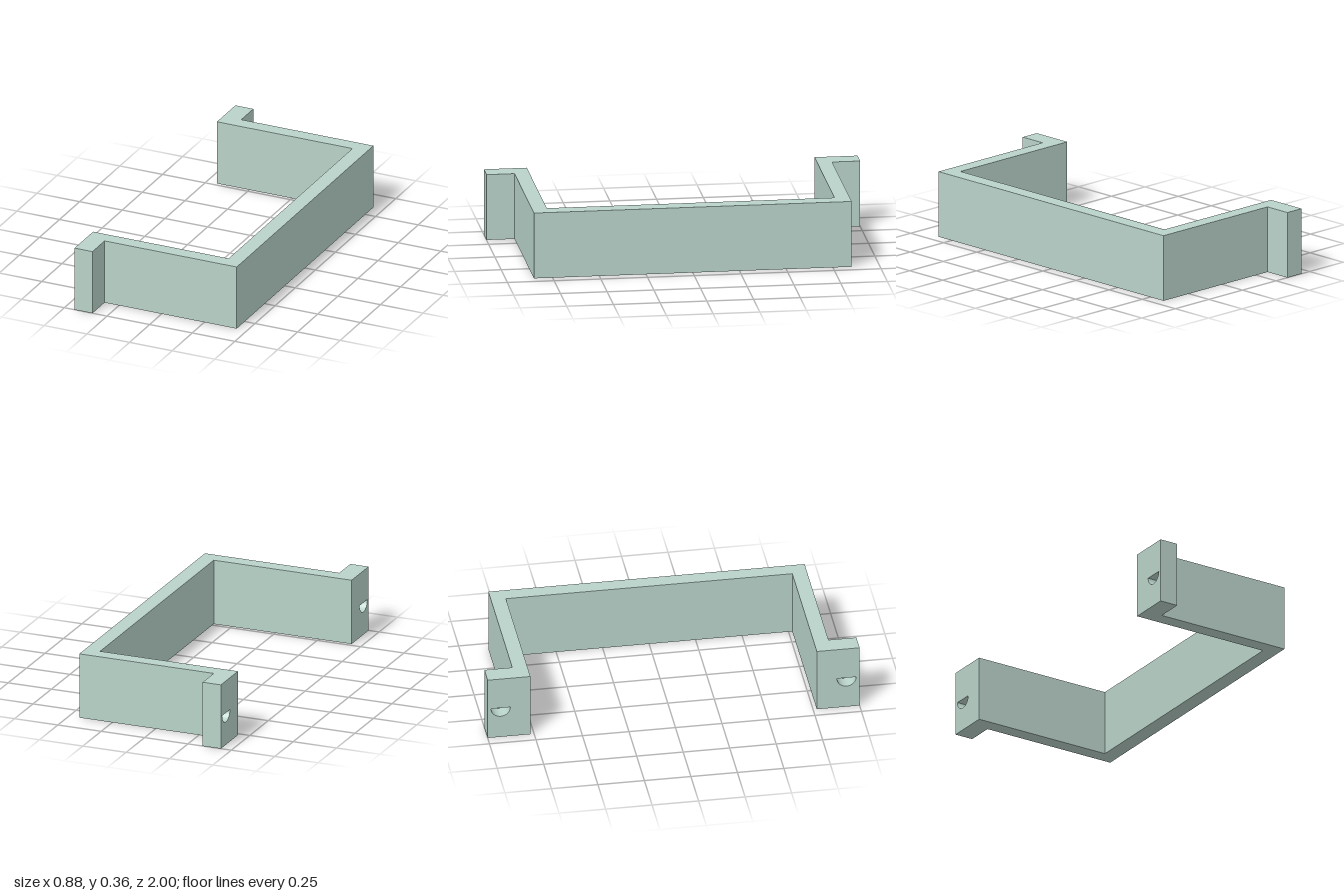
import * as THREE from 'three';

const HEIGHT = 0.36;
const BACK = -0.44;      // mounting face
const SEAT = -0.36;      // floor of the blind holes
const FLANGE = -0.335;   // outer side of the feet
const HOLE_R = 0.052;

export function createModel() {
  const group = new THREE.Group();
  const material = new THREE.MeshStandardMaterial({ color: 0xb9d3c9, flatShading: true });

  function add(geometry, name) {
    const mesh = new THREE.Mesh(geometry, material);
    mesh.name = name;
    group.add(mesh);
  }

  // U-shaped strap with outward feet: half outline in (x, z), mirrored in z
  const half = [
    [0.44, 0.85], [FLANGE, 0.85], [FLANGE, 1], [SEAT, 1], [SEAT, 0.77], [0.355, 0.77],
  ];
  const outline = [...half, ...half.map(([x, z]) => [x, -z]).reverse()];
  const strap = new THREE.ExtrudeGeometry(
    new THREE.Shape(outline.map(([x, z]) => new THREE.Vector2(x, z))),
    { depth: HEIGHT, bevelEnabled: false });
  strap.rotateX(Math.PI / 2).translate(0, HEIGHT, 0);
  add(strap, 'strap');

  // Mounting pads with a blind half-round hole in the back face
  for (const side of [-1, 1]) {
    const a = side * 0.77, b = side * 1;
    const pad = new THREE.Shape([
      new THREE.Vector2(a, 0), new THREE.Vector2(b, 0),
      new THREE.Vector2(b, HEIGHT), new THREE.Vector2(a, HEIGHT),
    ]);
    const hole = new THREE.Path();
    hole.absarc(side * 0.93, HEIGHT / 2, HOLE_R, Math.PI, 2 * Math.PI, false);
    hole.closePath();
    pad.holes.push(hole);
    const geometry = new THREE.ExtrudeGeometry(pad, {
      depth: SEAT - BACK, bevelEnabled: false, curveSegments: 16,
    });
    geometry.rotateY(Math.PI / 2).translate(BACK, 0, 0);
    add(geometry, side < 0 ? 'frontMountingPad' : 'backMountingPad');
  }

  return group;
}
